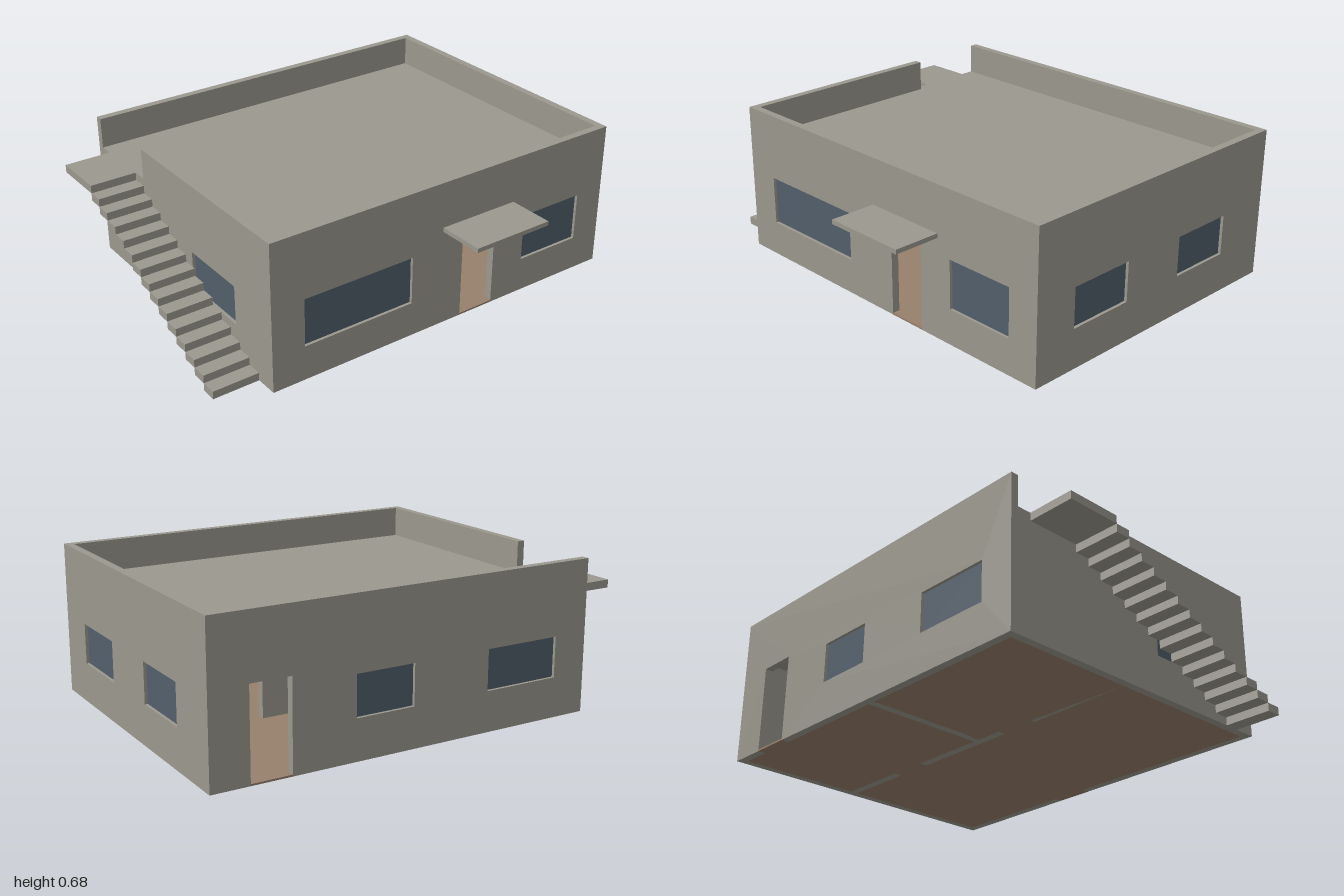
import * as THREE from 'three';

export function createModel() {
  const house = new THREE.Group();
  house.name = 'house';
  const concrete = new THREE.MeshStandardMaterial({ color: 0x9b988e });
  concrete.name = 'concrete';
  const glass = new THREE.MeshStandardMaterial({ color: 0x525f6b });
  glass.name = 'glass';
  const floorTone = new THREE.MeshStandardMaterial({ color: 0x97806c });
  floorTone.name = 'brown floor';

  const T = 0.035, ROOF = 0.54, TOP = 0.68, DOOR = 0.4;
  const X0 = -0.785, X1 = 1, Z0 = -0.82, Z1 = 0.605;

  function add(parent, name, geometry, material) {
    const mesh = new THREE.Mesh(geometry, material);
    mesh.name = name;
    parent.add(mesh);
    return mesh;
  }

  // Box given by its lower and upper corners
  function box(name, [ax, ay, az], [bx, by, bz], material = concrete) {
    const mesh = add(house, name, new THREE.BoxGeometry(bx - ax, by - ay, bz - az), material);
    mesh.position.set((ax + bx) / 2, (ay + by) / 2, (az + bz) / 2);
    return mesh;
  }

  // Upright wall: outline drawn in its own plane, doors notched in, windows cut and glazed
  function wall(name, from, to, topLine, doors, windows) {
    const group = new THREE.Group();
    group.name = name;
    const outline = [[from, 0]];
    for (const [a, b] of doors) outline.push([a, 0], [a, DOOR], [b, DOOR], [b, 0]);
    outline.push([to, 0], ...topLine);
    const shape = new THREE.Shape(outline.map(([x, y]) => new THREE.Vector2(x, y)));
    for (const [a, b, low, high] of windows) {
      const hole = new THREE.Path();
      hole.moveTo(a, low).lineTo(a, high).lineTo(b, high).lineTo(b, low).closePath();
      shape.holes.push(hole);
      const pane = add(group, 'windowPane', new THREE.BoxGeometry(b - a, high - low, 0.008), glass);
      pane.position.set((a + b) / 2, (low + high) / 2, T / 2);
    }
    add(group, name + 'Panel',
      new THREE.ExtrudeGeometry(shape, { depth: T, bevelEnabled: false }), concrete);
    house.add(group);
    return group;
  }

  // Outer walls, rising past the roof as a parapet
  wall('frontWall', X0, X1, [[X1, TOP], [X0, TOP]], [[0.18, 0.36]],
    [[-0.63, -0.09, 0.16, 0.38], [0.53, 0.855, 0.16, 0.38]]).position.z = Z1 - T;
  wall('backWall', X0, X1, [[X1, TOP], [X0, TOP]], [[0.65, 0.83]],
    [[-0.625, -0.27, 0.18, 0.36], [0.095, 0.365, 0.18, 0.36]]).position.z = Z0;

  const a = Z0 + T, b = Z1 - T;
  const leftWall = wall('leftWall', a, b, [[b, TOP], [a, TOP]], [],
    [[-0.55, -0.245, 0.18, 0.36], [0.08, 0.395, 0.18, 0.36]]);
  leftWall.rotation.y = -Math.PI / 2;
  leftWall.position.x = X1;

  // Parapet is left open where the stair landing meets the roof
  const rightWall = wall('rightWall', a, b,
    [[b, TOP], [-0.4, TOP], [-0.4, ROOF], [a, ROOF]], [], [[0, 0.335, 0.18, 0.36]]);
  rightWall.rotation.y = -Math.PI / 2;
  rightWall.position.x = X0 + T;

  // Inner partitions with doorways
  wall('crossPartition', X0 + T, X1 - T, [[X1 - T, 0.5], [X0 + T, 0.5]],
    [[-0.25, -0.07], [0.45, 0.63]], []).position.z = -0.21;
  box('backPartition', [0.05, 0, a], [0.085, 0.5, -0.21]);

  // Floor, door sills and roof slab
  box('floor', [X0 + T, 0, a], [X1 - T, 0.008, b], floorTone);
  box('frontSill', [0.18, 0, b], [0.36, 0.008, Z1], floorTone);
  box('backSill', [0.65, 0, Z0], [0.83, 0.008, a], floorTone);
  box('roofSlab', [X0 + T, 0.5, a], [X1 - T, ROOF, b]);

  // Canopy over the front door
  box('doorCanopy', [0.07, 0.45, Z1], [0.46, 0.47, 0.82]);

  // Open outside stair: blocks meeting edge to edge, up to a landing
  const steps = 14, rise = ROOF / (steps + 1), going = 0.97 / steps;
  for (let i = 0; i < steps; i++) {
    const front = 0.5 - i * going;
    box('stairStep', [-1, i * rise, front - going], [X0, (i + 1) * rise, front]);
  }
  box('stairLanding', [-1, ROOF - rise, -0.72], [X0, ROOF, -0.47]);

  return house;
}
